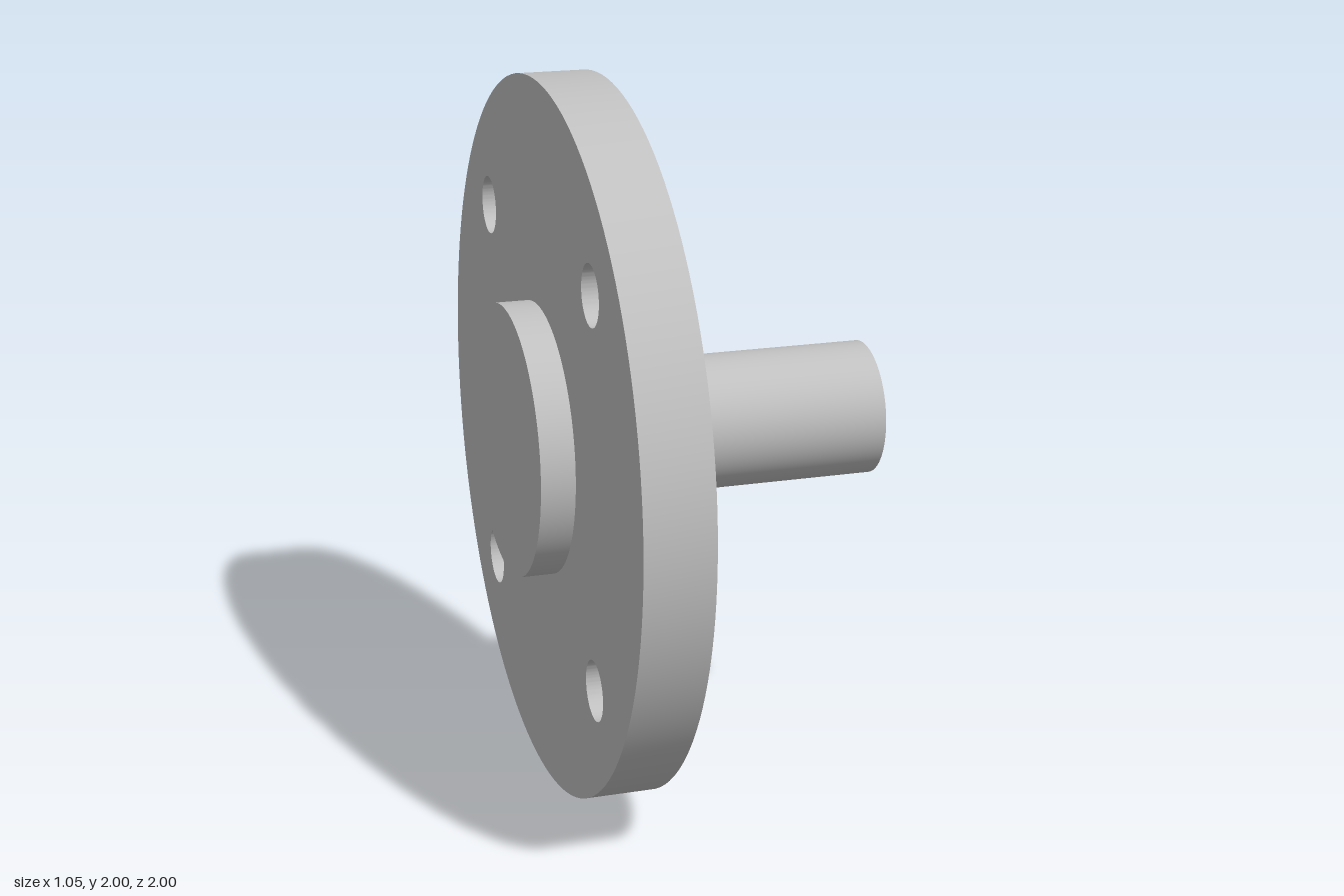
import * as THREE from 'three';
import { toCreasedNormals } from 'three/addons/utils/BufferGeometryUtils.js';

export function createModel() {
  const group = new THREE.Group();
  const steel = new THREE.MeshStandardMaterial({ color: 0xc0c0c0 });
  steel.name = 'grey steel';

  const add = (name, geometry) => {
    const mesh = new THREE.Mesh(geometry, steel);
    mesh.name = name;
    mesh.position.y = 1;
    group.add(mesh);
  };

  // Solid round part lying along x, from x0 to x1
  const rod = (name, radius, x0, x1) => {
    const geometry = new THREE.CylinderGeometry(radius, radius, x1 - x0, 96);
    geometry.rotateZ(-Math.PI / 2).translate((x0 + x1) / 2, 0, 0);
    add(name, geometry);
  };

  // Flange disc with four bolt holes
  const disc = new THREE.Shape().absarc(0, 0, 1, 0, Math.PI * 2, false);
  for (const u of [-0.54, 0.54]) {
    for (const v of [-0.54, 0.54]) {
      disc.holes.push(new THREE.Path().absarc(u, v, 0.083, 0, Math.PI * 2, true));
    }
  }
  const flange = new THREE.ExtrudeGeometry(disc, { depth: 0.19, bevelEnabled: false, curveSegments: 64 });
  flange.rotateY(Math.PI / 2).translate(-0.43, 0, 0);
  add('flange', toCreasedNormals(flange, 0.6));

  // Locating boss on one face, shaft on the other
  rod('boss', 0.38, -0.525, -0.43);
  rod('shaft', 0.19, -0.24, 0.525);

  return group;
}
